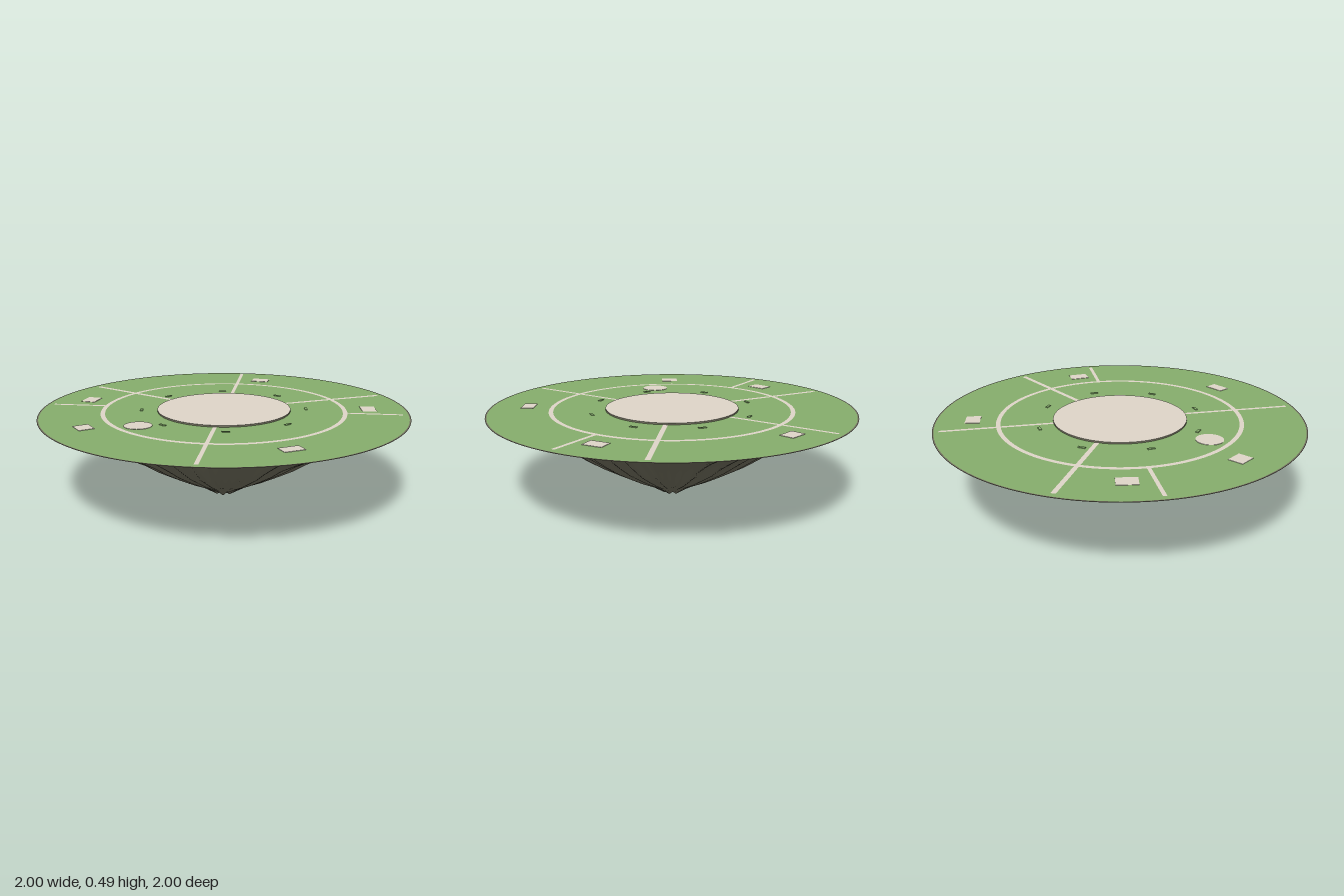
import * as THREE from 'three';

const GROUND = 0.483;
const grass = new THREE.MeshStandardMaterial({ color: 0x86ae6c, name: 'grass' });
const stone = new THREE.MeshStandardMaterial({ color: 0xdfd6c9, name: 'paleStone' });
const rock = new THREE.MeshStandardMaterial({ color: 0x747260, name: 'darkRock' });

function add(group, name, geometry, material, x = 0, y = 0, z = 0, turn = 0) {
  const mesh = new THREE.Mesh(geometry, material);
  mesh.name = name;
  mesh.position.set(x, y, z);
  mesh.rotation.y = turn;
  group.add(mesh);
  return mesh;
}

const flat = (geometry) => geometry.rotateX(-Math.PI / 2);

// Ribbed round cone whose top flares to a rounded square, then to a thin round rim
function rockGeometry() {
  const levels = [[0, 0.01], [0.06, 0.003], [0.18, 0.06], [0.32, 0.112], [0.45, 0.167], [0.57, 0.22],
    [0.68, 0.278], [0.78, 0.335], [0.87, 0.395], [0.94, 0.443], [0.98, 0.468], [1, 0.478]];
  const n = 288, pos = [], index = [];
  const squareness = (a) => Math.min(1.247, 1 / Math.max(Math.abs(Math.cos(a)), Math.abs(Math.sin(a))));
  const ribs = (a) => 0.5 * Math.sin(36 * a + 1.5 * Math.sin(3 * a)) + 0.3 * Math.sin(23 * a + 1) + 0.2 * Math.sin(11 * a + 2);
  for (let i = 0; i <= levels.length; i++) {
    const rim = i === levels.length;
    for (let j = 0; j < n; j++) {
      const a = (j / n) * Math.PI * 2;
      const [s, y] = rim ? [1, 0.481] : levels[i];
      const depth = 0.045 * Math.min(1, (1 - s) * 14) * (ribs(a) - 0.5);
      const corner = Math.pow(squareness(a), Math.pow(Math.max(0, (s - 0.7) / 0.3), 1.2));
      const r = rim ? 1 : 0.79 * corner * s * (1 + depth);
      const jag = s > 0 && s < 0.1 ? 0.006 * (1 + Math.sin(7 * a)) - 0.003 : 0;
      pos.push(r * Math.cos(a), y + jag, r * Math.sin(a));
    }
  }
  for (let i = 0; i < levels.length; i++) {
    for (let j = 0; j < n; j++) {
      const k = (j + 1) % n;
      const a = i * n + j, b = i * n + k, c = a + n, d = b + n;
      index.push(a, c, b, b, c, d);
    }
  }
  const g = new THREE.BufferGeometry();
  g.setAttribute('position', new THREE.Float32BufferAttribute(pos, 3));
  g.setIndex(index);
  g.computeVertexNormals();
  return g;
}

// Flat strip between two ground points
function addPath(group, x1, z1, x2, z2, width) {
  const length = Math.hypot(x2 - x1, z2 - z1);
  add(group, 'path', flat(new THREE.PlaneGeometry(length, width)), stone,
    (x1 + x2) / 2, GROUND + 0.0008, (z1 + z2) / 2, -Math.atan2(z2 - z1, x2 - x1));
}

export function createModel() {
  const model = new THREE.Group();
  model.name = 'floatingIsland';

  // Island body
  add(model, 'rockUnderside', rockGeometry(), rock);
  add(model, 'rimEdge', new THREE.CylinderGeometry(1, 1, 0.002, 128, 1, true), rock, 0, GROUND - 0.001, 0);
  add(model, 'rimTop', flat(new THREE.RingGeometry(0.992, 1, 128)), rock, 0, GROUND, 0);
  add(model, 'lawn', flat(new THREE.CircleGeometry(0.992, 128)), grass, 0, GROUND, 0);

  // Raised round plaza with a dark edge
  add(model, 'plazaEdge', new THREE.CylinderGeometry(0.363, 0.363, 0.009, 96, 1, true), rock, 0, GROUND + 0.0045, 0);
  add(model, 'plazaFloor', flat(new THREE.CircleGeometry(0.363, 96)), stone, 0, GROUND + 0.009, 0);

  // Ring path and spokes
  const paths = new THREE.Group();
  paths.name = 'paths';
  model.add(paths);
  add(paths, 'ringPath', flat(new THREE.RingGeometry(0.645, 0.669, 128)), stone, 0, GROUND + 0.001, 0);
  addPath(paths, 0, -0.36, 0, -0.965, 0.02);
  addPath(paths, 0, 0.36, 0, 0.962, 0.02);
  addPath(paths, -0.66, 0, -0.962, 0, 0.02);
  addPath(paths, 0.66, 0, 0.962, 0, 0.02);
  addPath(paths, -0.31, -0.18, -0.84, -0.47, 0.025);
  addPath(paths, 0.32, -0.175, 0.855, -0.445, 0.025);

  // Building pads: x, z, width, depth, turn
  const pads = [
    [0.138, -0.785, 0.105, 0.08, -0.15], [-0.785, -0.13, 0.08, 0.107, -0.15],
    [0.785, -0.105, 0.08, 0.107, 0.12], [-0.653, 0.455, 0.083, 0.095, 0.65],
    [0.398, 0.688, 0.11, 0.07, 0.53]];
  for (const [x, z, w, d, turn] of pads) {
    add(model, 'buildingPad', new THREE.BoxGeometry(w, 0.003, d), stone, x, GROUND + 0.0005, z, turn);
  }
  add(model, 'roundPad', new THREE.CylinderGeometry(0.073, 0.073, 0.003, 48), stone, -0.39, GROUND + 0.0005, 0.385);

  // Low hedges around the plaza
  for (let i = 0; i < 8; i++) {
    const a = 0.64 + (i / 8) * Math.PI * 2;
    add(model, 'hedge', new THREE.BoxGeometry(0.015, 0.004, 0.04), grass,
      0.45 * Math.cos(a), GROUND + 0.002, 0.45 * Math.sin(a), -a);
  }
  return model;
}
